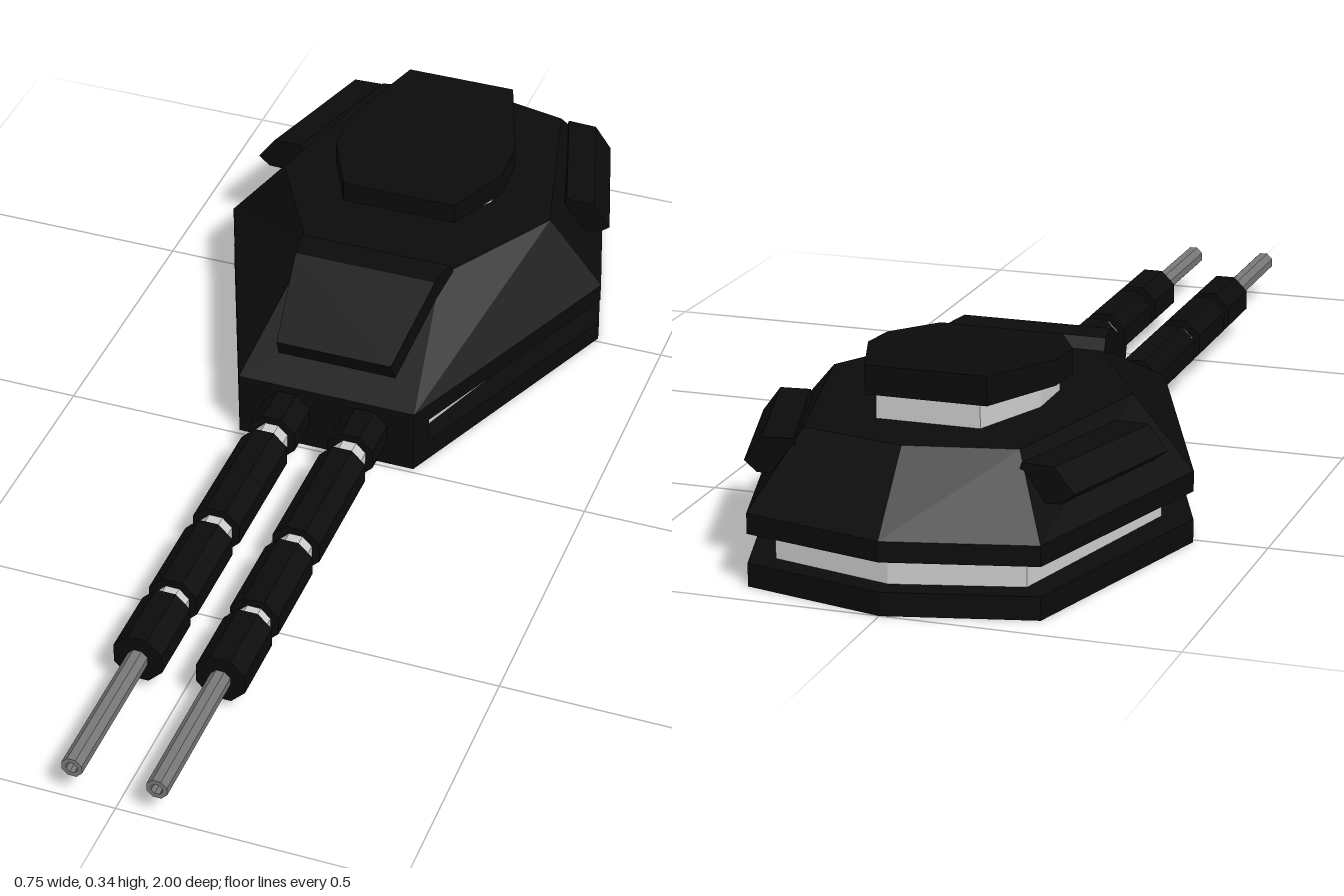
import * as THREE from 'three';

const paint = (color) => new THREE.MeshStandardMaterial({ color, flatShading: true });

// Closed faceted solid through rings of [x, y, z]; rings run counterclockwise seen from the last one
function loft(rings) {
  const pos = [];
  const tri = (a, b, c) => pos.push(...a, ...b, ...c);
  const n = rings[0].length;
  const first = rings[0], last = rings[rings.length - 1];
  for (let k = 0; k + 1 < rings.length; k++) {
    const a = rings[k], b = rings[k + 1];
    for (let i = 0; i < n; i++) {
      const j = (i + 1) % n;
      tri(a[i], a[j], b[j]);
      tri(a[i], b[j], b[i]);
    }
  }
  for (let i = 1; i + 1 < n; i++) {
    tri(last[0], last[i], last[i + 1]);
    tri(first[0], first[i + 1], first[i]);
  }
  const g = new THREE.BufferGeometry();
  g.setAttribute('position', new THREE.Float32BufferAttribute(pos, 3));
  g.computeVertexNormals();
  return g;
}

// Mirrors half an outline of [x, z], front to rear; height is a number or a function of z
function ring(half, height) {
  const other = half.filter((p) => p[0] > 0).reverse().map(([x, z]) => [-x, z]);
  const y = typeof height === 'function' ? height : () => height;
  return [...half, ...other].map(([x, z]) => [x, y(z), z]);
}

export function createModel() {
  const model = new THREE.Group();
  const black = paint(0x0b0b0b), grey = paint(0xcccccc), steel = paint(0x777777);
  const add = (name, geometry, material, parent = model) => {
    const mesh = new THREE.Mesh(geometry, material);
    mesh.name = name;
    parent.add(mesh);
    return mesh;
  };

  // Hull: base plate, recessed band, sloped upper armour, front block
  const outline = [[0.17, -0.01], [0.373, -0.51], [0.25, -0.94], [0, -1]];
  const bandLine = [[0.15, -0.045], [0.317, -0.51], [0.215, -0.905], [0, -0.96]];
  const roof = [[0.13, -0.27], [0.267, -0.51], [0.185, -0.85], [0, -0.89]];
  const block = [[0.17, -0.01], [0.186, -0.05]];
  add('basePlate', loft([ring(outline, 0), ring(outline, 0.04)]), black);
  add('hullBand', loft([ring(bandLine, 0.035), ring(bandLine, 0.095)]), grey);
  add('upperHull', loft([ring(outline, 0.09), ring(outline, 0.125), ring(roof, 0.25)]), black);
  add('frontBlock', loft([ring(block, 0.03), ring(block, 0.1)]), black);

  // Raised wedge panel on the front slope, wider to the rear
  const wedge = [[-0.30, 0.24], [-0.28, 0.27], [-0.22, 0.27], [-0.05, 0.19], [-0.07, 0.15]];
  const wedgeSide = (s) => wedge.map(([z, y]) => [s * (0.103 - 0.15 * z), y, z]);
  add('frontPanel', loft([wedgeSide(-1), wedgeSide(1)]), black);

  // Armour boxes along the rear flanks
  const section = [[0.335, 0.172], [0.357, 0.19], [0.325, 0.233], [0.27, 0.235], [0.25, 0.17]];
  const boxEnd = (z, inset) => section.map(([x, y]) => [x - inset, y, z]);
  const boxRings = [boxEnd(-0.87, 0.075), boxEnd(-0.61, 0)];
  const mirror = (r) => r.map(([x, y, z]) => [-x, y, z]).reverse();
  add('leftSideBox', loft(boxRings), black);
  add('rightSideBox', loft(boxRings.map(mirror)), black);

  // Cupola: grey neck under a cap that rises to the rear
  const neck = [[0.09, -0.45], [0.145, -0.53], [0.145, -0.63], [0.09, -0.77]];
  const cap = [[0.11, -0.41], [0.165, -0.52], [0.165, -0.61], [0.105, -0.78]];
  const tilt = (y, slope) => (z) => y + slope * (-0.41 - z);
  add('cupolaNeck', loft([ring(neck, 0.24), ring(neck, tilt(0.285, 0.06))]), grey);
  add('cupolaCap', loft([ring(cap, tilt(0.272, 0.055)), ring(cap, tilt(0.311, 0.085))]), black);

  // Twin octagonal guns; r is the distance to the flats
  const tube = (r, z0, z1, hole = 0) => {
    const k = 1 / Math.cos(Math.PI / 8);
    const profile = [[0, z0], [r * k, z0], [r * k, z1]];
    if (hole) profile.push([hole * k, z1], [hole * k, z1 - 0.06], [0, z1 - 0.06]);
    else profile.push([0, z1]);
    const g = new THREE.LatheGeometry(profile.map((p) => new THREE.Vector2(...p)), 8);
    return g.rotateY(Math.PI / 8).rotateX(Math.PI / 2);
  };
  const sleeves = [[-0.03, 0.07], [0.11, 0.35], [0.385, 0.555], [0.585, 0.715]];
  for (const [name, side] of [['leftGun', 1], ['rightGun', -1]]) {
    const gun = new THREE.Group();
    gun.name = name;
    gun.position.set(side * 0.075, 0.067, 0);
    sleeves.forEach(([a, b], i) => add('sleeve' + (i + 1), tube(0.044, a, b), black, gun));
    add('innerBarrel', tube(0.03, 0, 0.65), grey, gun);
    add('muzzle', tube(0.018, 0.6, 1, 0.01), steel, gun);
    add('bore', tube(0.0098, 0.93, 0.945), black, gun);
    model.add(gun);
  }
  return model;
}
